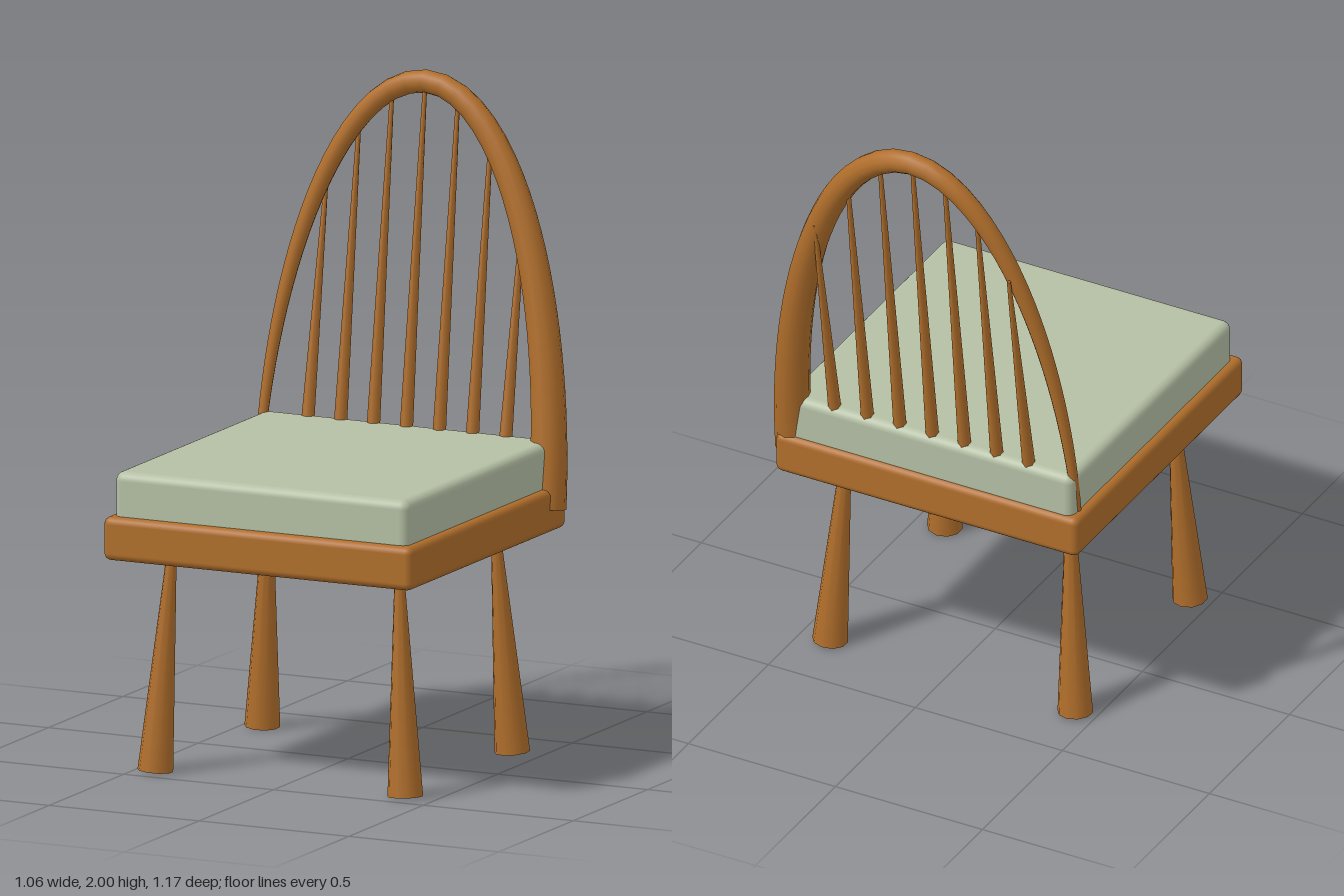
import * as THREE from 'three';
import { RoundedBoxGeometry } from 'three/addons/geometries/RoundedBoxGeometry.js';

const CX = -0.015; // chair's own centre line

// Semi-elliptical bow, leaning back as it rises
class BowCurve extends THREE.Curve {
  getPoint(t, target = new THREE.Vector3()) {
    const a = Math.PI * t;
    const s = Math.sin(a);
    return target.set(CX + 0.483 * Math.cos(a), 0.735 + 1.23 * s, -0.395 - 0.158 * s);
  }
}

export function createModel() {
  const group = new THREE.Group();
  const wood = new THREE.MeshStandardMaterial({ color: 0xb06e2b });
  wood.name = 'warm wood';
  const fabric = new THREE.MeshStandardMaterial({ color: 0xb4bfa4 });
  fabric.name = 'sage fabric';

  const add = (name, geometry, material) => {
    const mesh = new THREE.Mesh(geometry, material);
    mesh.name = name;
    group.add(mesh);
    return mesh;
  };

  // Tapered round bar between two points
  const bar = (name, from, to, r0, r1, sides) => {
    const dir = to.clone().sub(from);
    const mesh = add(name, new THREE.CylinderGeometry(r1, r0, dir.length(), sides), wood);
    mesh.position.copy(from).add(to).multiplyScalar(0.5);
    mesh.quaternion.setFromUnitVectors(new THREE.Vector3(0, 1, 0), dir.normalize());
  };

  // Seat frame and cushion
  add('seatFrame', new RoundedBoxGeometry(1.03, 0.133, 1.05, 3, 0.022), wood)
    .position.set(CX, 0.735, 0.06);
  add('cushion', new RoundedBoxGeometry(0.98, 0.16, 1.01, 4, 0.028), fabric)
    .position.set(CX, 0.857, 0.055);

  // Four splayed legs, thick at the foot
  for (const sx of [-1, 1]) {
    for (const sz of [-1, 1]) {
      bar(
        (sz > 0 ? 'front' : 'back') + (sx > 0 ? 'Left' : 'Right') + 'Leg',
        new THREE.Vector3(CX + sx * 0.417, 0.006, 0.065 + sz * 0.359),
        new THREE.Vector3(CX + sx * 0.378, 0.7, 0.065 + sz * 0.322),
        0.054, 0.013, 10
      );
    }
  }

  // Back bow: a tube thinning from the left end to the right end
  const curve = new BowCurve();
  const segments = 48;
  const sides = 12;
  const radiusAt = (u) => 0.058 + (0.012 - 0.058) * u;
  const bow = new THREE.TubeGeometry(curve, segments, 1, sides, false);
  const pos = bow.attributes.position;
  const v = new THREE.Vector3();
  for (let i = 0; i <= segments; i++) {
    const u = i / segments;
    const centre = curve.getPointAt(u);
    for (let j = 0; j <= sides; j++) {
      const k = i * (sides + 1) + j;
      v.fromBufferAttribute(pos, k).sub(centre).multiplyScalar(radiusAt(u)).add(centre);
      pos.setXYZ(k, v.x, v.y, v.z);
    }
  }
  add('backBow', bow, wood);

  // End caps of the bow
  for (const u of [0, 1]) {
    const cap = add('bowEnd', new THREE.CircleGeometry(radiusAt(u), sides), wood);
    cap.position.copy(curve.getPointAt(u));
    const out = curve.getTangentAt(u).multiplyScalar(u === 0 ? -1 : 1);
    cap.quaternion.setFromUnitVectors(new THREE.Vector3(0, 0, 1), out);
  }

  // Seven spindles rising into the bow
  for (let i = -3; i <= 3; i++) {
    const dx = i * 0.11;
    const top = 0.735 + 1.23 * Math.sqrt(1 - (dx / 0.483) ** 2);
    bar(
      'spindle',
      new THREE.Vector3(CX + dx, 0.86, -0.413),
      new THREE.Vector3(CX + dx, top + 0.01, -0.55),
      0.021, 0.006, 6
    );
  }

  return group;
}
